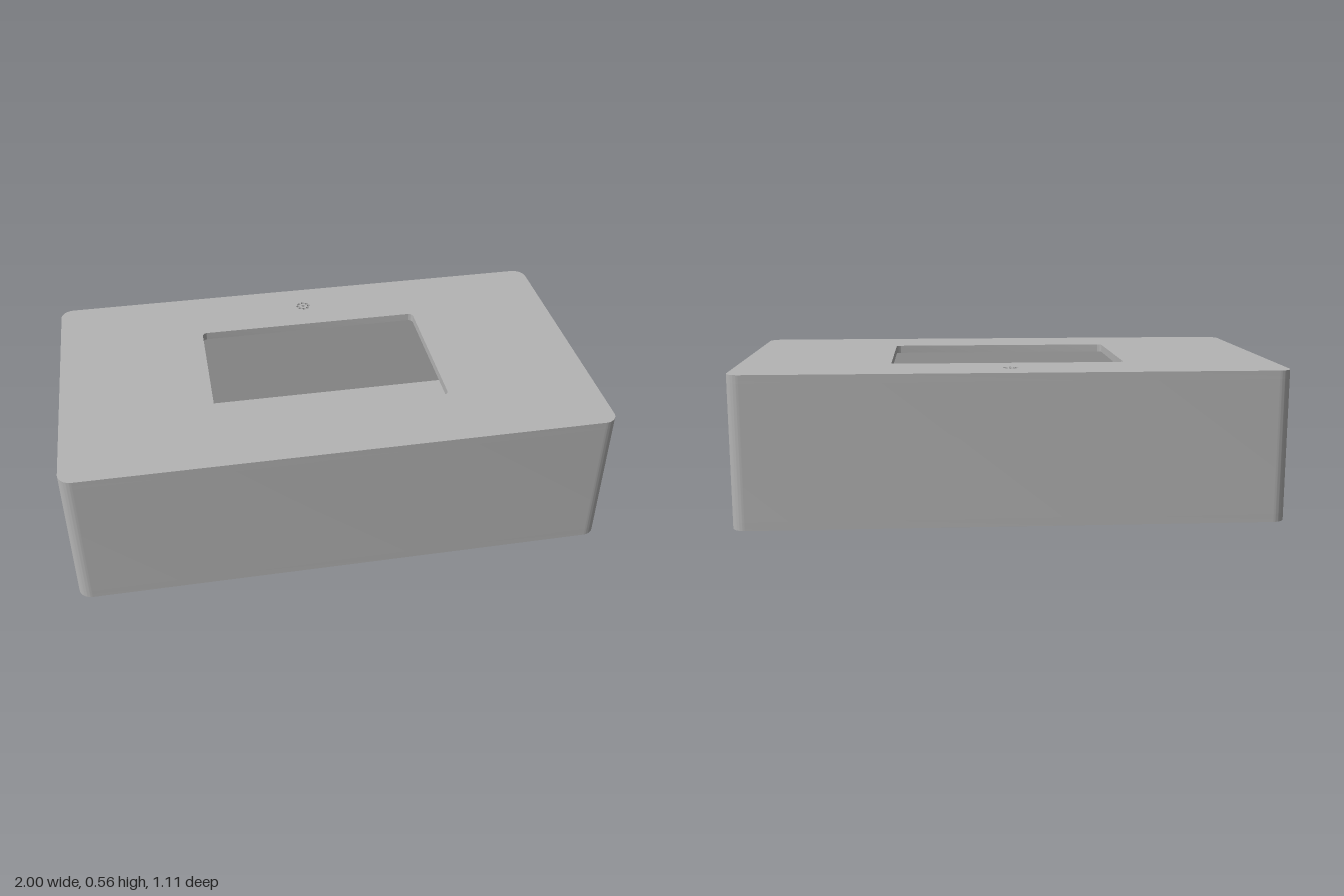
import * as THREE from 'three';
import { toCreasedNormals } from 'three/addons/utils/BufferGeometryUtils.js';

const HX = 1, HZ = 0.555, H = 0.557;      // half length, half depth, height
const R = 0.05, WALL = 0.04, PLATE = 0.03; // corner radius, wall and plate thickness

// Rounded rectangle, usable as outline or hole
function roundedRect(hw, hh, r, cx = 0, cy = 0, Type = THREE.Path) {
  const p = new Type();
  p.absarc(cx + hw - r, cy - hh + r, r, -Math.PI / 2, 0);
  p.absarc(cx + hw - r, cy + hh - r, r, 0, Math.PI / 2);
  p.absarc(cx - hw + r, cy + hh - r, r, Math.PI / 2, Math.PI);
  p.absarc(cx - hw + r, cy - hh + r, r, Math.PI, Math.PI * 1.5);
  p.closePath();
  return p;
}

function circle(x, y, r, Type = THREE.Path) {
  const p = new Type();
  p.absarc(x, y, r, 0, Math.PI * 2);
  return p;
}

// Concentric rings of round holes: rings = [[ringRadius, count], ...]
function perforate(shape, cx, cy, holeR, rings) {
  for (const [ring, n] of rings) {
    for (let i = 0; i < n; i++) {
      const a = (i / n) * Math.PI * 2;
      shape.holes.push(circle(cx + ring * Math.cos(a), cy + ring * Math.sin(a), holeR));
    }
  }
}

function extrude(shape, depth) {
  const g = new THREE.ExtrudeGeometry(shape, { depth, bevelEnabled: false, curveSegments: 10 });
  return toCreasedNormals(g, 0.7);
}

// Extrude a plan shape (x, -z) upwards from height y
function extrudeUp(shape, y, height) {
  return extrude(shape, height).rotateX(-Math.PI / 2).translate(0, y, 0);
}

export function createModel() {
  const group = new THREE.Group();
  const grey = new THREE.MeshStandardMaterial({ color: 0xb4b4b4 });
  grey.name = 'grey plastic';
  const add = (name, geometry) => {
    const mesh = new THREE.Mesh(geometry, grey);
    mesh.name = name;
    group.add(mesh);
    return mesh;
  };
  const corners = (x, z) => [[x, z], [-x, z], [x, -z], [-x, -z]];
  const screws = corners(0.925, 0.477);

  // Base plate with screw holes and speaker grille
  const base = roundedRect(HX, HZ, R, 0, 0, THREE.Shape);
  for (const [x, z] of screws) base.holes.push(circle(x, z, 0.037));
  perforate(base, 0.441, 0, 0.0135, [[0, 1], [0.05, 6], [0.1, 12], [0.15, 16]]);
  add('basePlate', extrudeUp(base, 0, PLATE));

  // Top plate with display window and microphone holes
  const top = roundedRect(HX, HZ, R, 0, 0, THREE.Shape);
  top.holes.push(roundedRect(0.436, 0.287, 0.02));
  perforate(top, 0, 0.425, 0.007, [[0, 1], [0.022, 8]]);
  add('topPlate', extrudeUp(top, H - PLATE, PLATE));

  // Front and back walls with the rounded corners
  const wallH = H - 2 * PLATE;
  const long = new THREE.Shape();
  long.moveTo(HX - WALL, HZ - R);
  long.lineTo(HX, HZ - R);
  long.absarc(HX - R, HZ - R, R, 0, Math.PI / 2);
  long.absarc(-HX + R, HZ - R, R, Math.PI / 2, Math.PI);
  long.lineTo(-HX + WALL, HZ - R);
  long.lineTo(-HX + WALL, HZ - WALL);
  long.lineTo(HX - WALL, HZ - WALL);
  long.closePath();
  add('backWall', extrudeUp(long, PLATE, wallH));
  add('frontWall', extrudeUp(long, PLATE, wallH).rotateY(Math.PI));

  // End walls, each with a rounded port opening
  const ports = [['leftWall', 1, 0.05, 0.027, 0.018], ['rightWall', -1, 0.072, 0.038, 0.02]];
  for (const [name, side, hw, hh, r] of ports) {
    const end = new THREE.Shape();
    end.moveTo(-HZ + R, PLATE);
    end.lineTo(HZ - R, PLATE);
    end.lineTo(HZ - R, H - PLATE);
    end.lineTo(-HZ + R, H - PLATE);
    end.closePath();
    end.holes.push(roundedRect(hw, hh, r, 0, 0.281));
    const g = extrude(end, WALL).translate(0, 0, HX - WALL).rotateY(side * Math.PI / 2);
    add(name, g);
  }

  // Hollow screw posts in the corners
  for (const [x, z] of screws) {
    const post = circle(x, z, 0.055, THREE.Shape);
    post.holes.push(circle(x, z, 0.022));
    add('screwPost', extrudeUp(post, PLATE, wallH));
  }

  // Display standoffs hanging under the top plate
  for (const [x, z] of corners(0.53, 0.32)) {
    const standoff = circle(x, z, 0.035, THREE.Shape);
    standoff.holes.push(circle(x, z, 0.015));
    add('displayStandoff', extrudeUp(standoff, 0.41, H - PLATE - 0.41));
  }

  return group;
}
